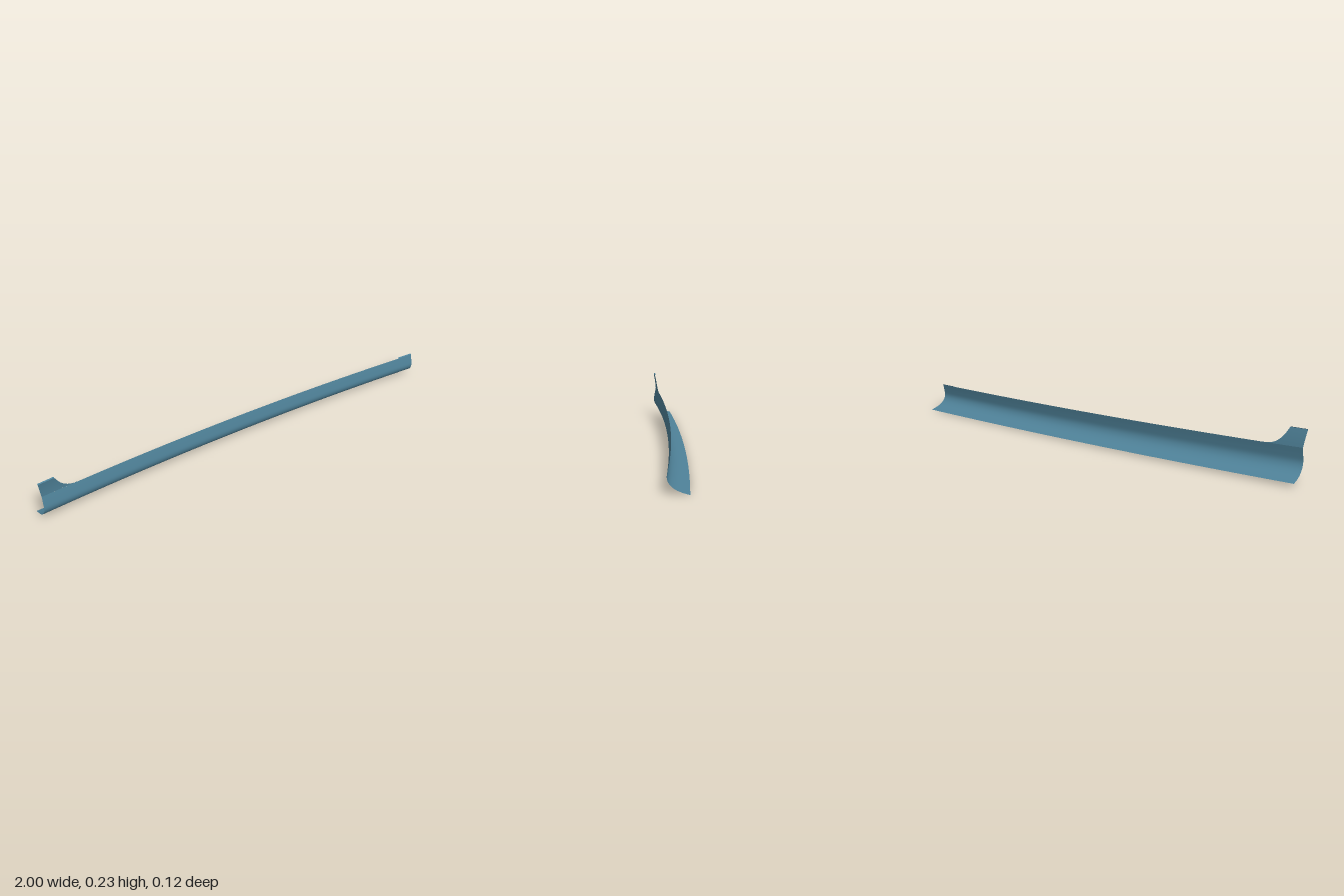
import * as THREE from 'three';

const material = new THREE.MeshStandardMaterial({ color: 0x4f8299, side: THREE.DoubleSide });
const lerp = THREE.MathUtils.lerp;

// Smooth sheet from point(u, v), u along the length and v upwards
function sheet(name, nu, nv, point) {
  const geometry = new THREE.PlaneGeometry(1, 1, nu, nv);
  const pos = geometry.attributes.position;
  for (let i = 0; i < pos.count; i++) {
    const p = point(pos.getX(i) + 0.5, pos.getY(i) + 0.5);
    pos.setXYZ(i, p[0], p[1], p[2]);
  }
  geometry.computeVertexNormals();
  const mesh = new THREE.Mesh(geometry, material);
  mesh.name = name;
  return mesh;
}

// Bowed plan line, sloping bottom and top edges
const bow = (x) => 0.016 + 0.0355 * (x - 0.1) ** 2;
const bottomY = (x) => 0.0105 - 0.0075 * x;
const topY = (x) => 0.1345 - 0.0146 * x;

// Cross-section: setback from the bulge, and height from 0 to 1
const section = new THREE.CatmullRomCurve3([
  [-0.078, 0], [-0.052, 0.065], [-0.03, 0.15], [-0.012, 0.28],
  [-0.003, 0.41], [0, 0.54], [-0.003, 0.74], [-0.009, 1],
].map(([z, h]) => new THREE.Vector3(0, h * 0.127, z)));

function panelPoint(u, v) {
  const s = section.getPoint(v);
  const h = s.y / 0.127;
  const left = -0.987 - 0.004 * (1 - h) ** 3;
  const right = 0.986 + 0.014 * (1 - h) ** 5;
  const x = lerp(left, right, u);
  return [x, lerp(bottomY(x), topY(x), h), bow(x) + s.z * (1 + 0.1 * x * x)];
}

// Upright horn at the right end, with a concave sweep down to the panel
const hornEdge = new THREE.SplineCurve([
  [-0.925, 0.226], [-0.9, 0.186], [-0.872, 0.161], [-0.845, 0.15], [-0.81, 0.1463],
].map(([x, y]) => new THREE.Vector2(x, y)));

function hornPoint(u, v) {
  const flat = 0.4;
  const tip = u < flat
    ? new THREE.Vector2(lerp(-1, -0.925, u / flat), 0.226)
    : hornEdge.getPoint((u - flat) / (1 - flat));
  const baseX = lerp(-0.987, -0.81, u);
  const base = panelPoint((baseX + 0.987) / 1.973, 1);
  const y = lerp(base[1], tip.y, v);
  const x = lerp(base[0], tip.x, v);
  const rise = Math.max(0, y - topY(x));
  return [x, y, bow(x) - 0.0099 + rise * (0.06 + 0.9 * rise)];
}

export function createModel() {
  const group = new THREE.Group();
  group.name = 'sillPanel';
  group.add(sheet('curvedPanel', 80, 32, panelPoint));
  group.add(sheet('endHorn', 40, 12, hornPoint));

  // Narrow folded lips on the horn and on the opposite end
  group.add(sheet('hornLip', 8, 1, (u, v) => {
    const p = hornPoint(u * 0.4, 1);
    return [p[0], p[1] + 0.003 * v, p[2] - 0.005 * v];
  }));
  group.add(sheet('endLip', 8, 1, (u, v) => {
    const p = panelPoint(lerp(0.962, 1, u), 1);
    return [p[0], p[1] + 0.003 * v, p[2] - 0.005 * v];
  }));
  return group;
}
